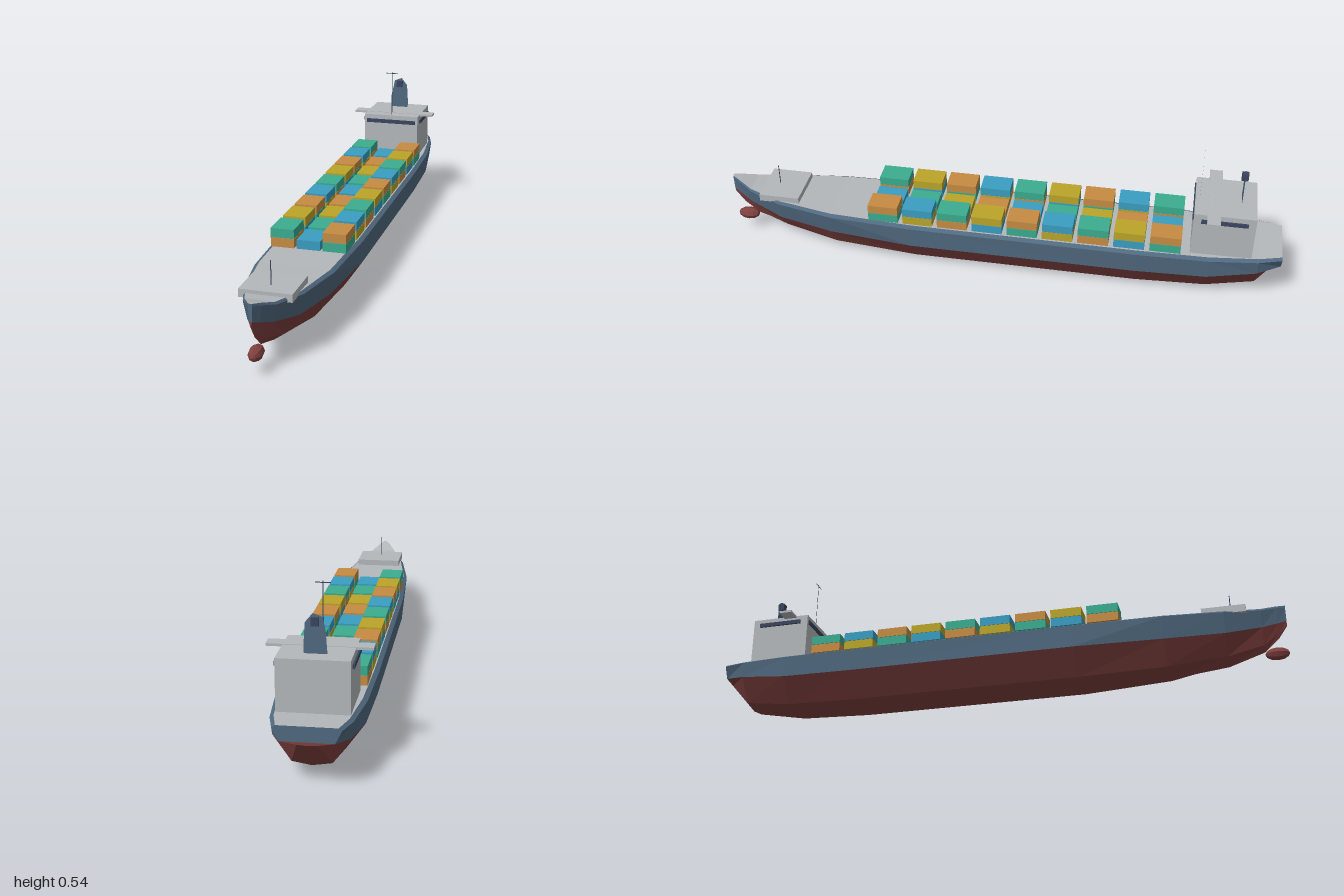
import * as THREE from 'three';

const mat = (name, color, extra = {}) =>
  Object.assign(new THREE.MeshStandardMaterial({ color, flatShading: true, ...extra }), { name });

export function createModel() {
  const ship = new THREE.Group();
  ship.name = 'cargoShip';

  const red = mat('hullRed', 0x7f413f);
  const blue = mat('hullBlue', 0x50697f, { side: THREE.DoubleSide });
  const grey = mat('deckGrey', 0xb4b8bb);
  const dark = mat('windowDark', 0x3a4560, { side: THREE.DoubleSide });
  const cargo = [
    mat('cargoGreen', 0x3bac8f),
    mat('cargoBlue', 0x3a9ec0),
    mat('cargoOrange', 0xc68c43),
    mat('cargoYellow', 0xbba52a),
  ];

  const add = (name, geometry, material, x = 0, y = 0, z = 0, parent = ship) => {
    const mesh = new THREE.Mesh(geometry, material);
    mesh.name = name;
    mesh.position.set(x, y, z);
    parent.add(mesh);
    return mesh;
  };
  const box = (name, w, h, d, material, x, y, z, parent) =>
    add(name, new THREE.BoxGeometry(w, h, d), material, x, y, z, parent);

  // Hull sections, stern to bow: z, keel y, bilge x y, waterline x y, sheer x y
  const sections = [
    [-1, 0.14, 0.03, 0.142, 0.08, 0.15, 0.1, 0.19],
    [-0.92, 0.045, 0.06, 0.055, 0.115, 0.135, 0.122, 0.187],
    [-0.75, 0.008, 0.075, 0.028, 0.135, 0.112, 0.14, 0.184],
    [-0.5, 0, 0.08, 0.02, 0.14, 0.107, 0.145, 0.183],
    [0.3, 0, 0.08, 0.02, 0.14, 0.107, 0.143, 0.183],
    [0.6, 0.012, 0.065, 0.032, 0.115, 0.112, 0.13, 0.187],
    [0.8, 0.035, 0.035, 0.06, 0.08, 0.125, 0.095, 0.194],
    [0.92, 0.075, 0.015, 0.095, 0.04, 0.15, 0.052, 0.206],
    [0.97, 0.12, 0.006, 0.135, 0.018, 0.168, 0.024, 0.221],
    [1, 0.163, 0.002, 0.168, 0.004, 0.18, 0.006, 0.228],
  ];
  // Point j of section i: keel, bilge, waterline, sheer, inner rail, deck centre
  const point = (i, j, side) => {
    const [z, ky, bx, by, wx, wy, sx, sy] = sections[i];
    const top = sy + 0.008;
    const [x, y] = [[0, ky], [bx, by], [wx, wy], [sx, sy], [sx * 0.9, top], [0, top]][j];
    return [x * side, y, z];
  };
  const last = sections.length - 1;
  // Plates running lengthwise between profile points, with optional end caps
  const plating = (name, from, to, material) => {
    const v = [];
    const quad = (a, b, c, d, flip) =>
      v.push(...(flip ? [a, c, b, a, d, c] : [a, b, c, a, c, d]).flat());
    for (let j = from; j < to; j++) {
      for (const s of [1, -1])
        for (let i = 0; i < last; i++)
          quad(point(i, j, s), point(i, j + 1, s), point(i + 1, j + 1, s), point(i + 1, j, s), s < 0);
      for (const i of [0, last])
        quad(point(i, j, 1), point(i, j, -1), point(i, j + 1, -1), point(i, j + 1, 1), i === last);
    }
    const g = new THREE.BufferGeometry();
    g.setAttribute('position', new THREE.Float32BufferAttribute(v, 3));
    g.computeVertexNormals();
    add(name, g, material);
  };
  plating('lowerHull', 0, 2, red);
  plating('upperHull', 2, 4, blue);
  plating('deck', 4, 5, grey);

  // Bulb below the bow
  const bulb = new THREE.SphereGeometry(0.023, 8, 6).rotateX(Math.PI / 2).scale(1, 1, 1.75);
  add('bowBulb', bulb, red, 0, 0.066, 0.96);

  // Raised foredeck with its mast
  box('foredeck', 0.168, 0.026, 0.147, grey, 0, 0.208, 0.8);
  add('foreMast', new THREE.CylinderGeometry(0.0015, 0.0015, 0.078, 6), dark, 0, 0.259, 0.82);

  // Containers: two tiers at the sides, one low tier in the middle
  const containers = new THREE.Group();
  containers.name = 'containers';
  ship.add(containers);
  const size = new THREE.BoxGeometry(0.079, 0.031, 0.107);
  for (let row = 0; row < 9; row++) {
    for (let col = 0; col < 3; col++) {
      const x = (col - 1) * 0.088, z = -0.6 + row * 0.125;
      const tiers = col === 1 ? 1 : 2;
      for (let t = 0; t < tiers; t++) {
        const colour = cargo[(row + col + 2 * (tiers - 1 - t)) % 4];
        add('container', size, colour, x, 0.21 + t * 0.032, z, containers);
      }
    }
  }

  // Deckhouse, bridge wings and windows
  box('deckhouse', 0.22, 0.168, 0.21, grey, 0, 0.274, -0.79);
  box('bridgeWings', 0.322, 0.008, 0.045, grey, 0, 0.3555, -0.752);
  box('frontWindow', 0.2, 0.015, 0.006, dark, 0, 0.333, -0.684);
  for (const s of [1, -1])
    box('sideWindow', 0.006, 0.014, 0.158, dark, s * 0.1145, 0.333, -0.79);

  // Thin funnel plate with its vent box
  const outline = [[-0.035, 0.358], [-0.03, 0.43], [-0.022, 0.469], [0.007, 0.48],
    [0.03, 0.452], [0.035, 0.38], [0.034, 0.358]];
  const funnel = new THREE.Shape(outline.map(([x, y]) => new THREE.Vector2(x, y)));
  add('funnel', new THREE.ShapeGeometry(funnel), blue, 0, 0, -0.842);
  box('funnelVent', 0.023, 0.025, 0.023, dark, 0, 0.456, -0.842);

  // Radar mast and crossbar, both flat
  add('radarMast', new THREE.PlaneGeometry(0.003, 0.178), dark, 0, 0.447, -0.7);
  add('radarBar', new THREE.PlaneGeometry(0.048, 0.003), dark, 0, 0.53, -0.699);

  return ship;
}
